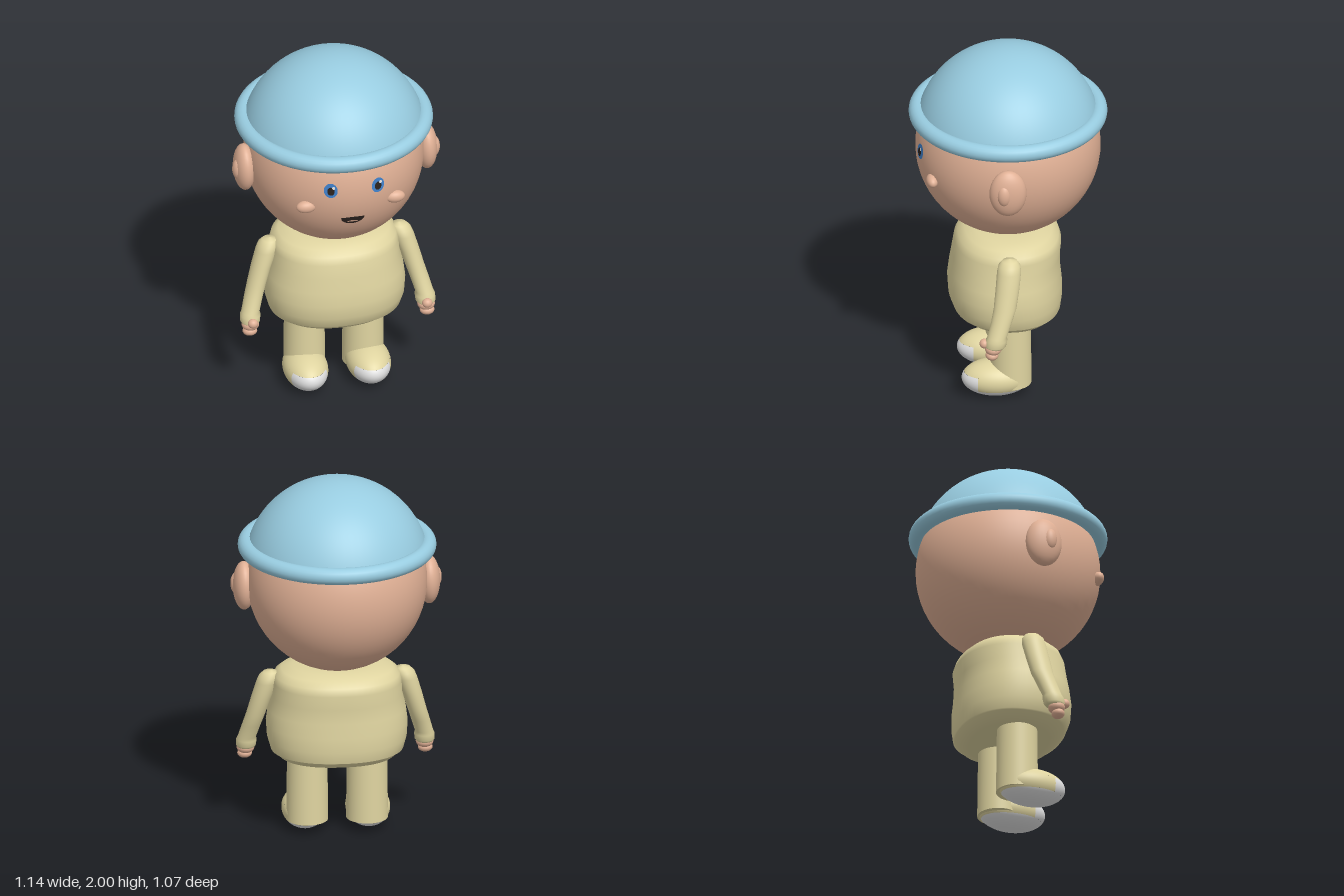
import * as THREE from 'three';

const mat = (name, color) => {
  const m = new THREE.MeshStandardMaterial({ color });
  m.name = name;
  return m;
};

const HEAD = { y: 1.43, rx: 0.483, ry: 0.49, rz: 0.497 };

// Smooth closed skin through horizontal rings [x, y, z, rx, rz], listed bottom to top
function loft(rings, power = 2, n = 40) {
  const pos = [], idx = [];
  const bend = v => Math.sign(v) * Math.abs(v) ** (2 / power);
  rings.forEach(([x, y, z, rx, rz], i) => {
    for (let j = 0; j < n; j++) {
      const t = (j / n) * Math.PI * 2;
      pos.push(x + rx * bend(Math.cos(t)), y, z + rz * bend(Math.sin(t)));
      if (i === rings.length - 1) continue;
      const a = i * n + j, b = i * n + (j + 1) % n;
      idx.push(a, a + n, b, b, a + n, b + n);
    }
  });
  const g = new THREE.BufferGeometry();
  g.setAttribute('position', new THREE.Float32BufferAttribute(pos, 3));
  g.setIndex(idx);
  g.computeVertexNormals();
  return g;
}

// Patch of the shoe ellipsoid between two heights; 'part' picks toe, side or full circle
function shoePatch(y0, y1, part) {
  const [rx, ry, rz] = [0.12, 0.1, 0.187], cz = 0.075, toeZ = 0.18;
  const rows = 12, cols = 36, pos = [], nor = [], idx = [];
  for (let i = 0; i <= rows; i++) {
    const y = y0 + (y1 - y0) * (1 - Math.cos((i / rows) * Math.PI)) / 2;
    const k = Math.sqrt(Math.max(0, 1 - ((y - ry) / ry) ** 2));
    const cut = part === 'full' ? 0 : Math.asin(Math.min(1, (toeZ - cz) / (rz * k)));
    const from = part === 'side' ? Math.PI - cut : cut;
    const to = part === 'toe' ? Math.PI - cut : Math.PI * 2 + cut;
    for (let j = 0; j <= cols; j++) {
      const t = from + (to - from) * (j / cols);
      const x = rx * k * Math.cos(t), z = rz * k * Math.sin(t);
      const v = new THREE.Vector3(x / rx ** 2, (y - ry) / ry ** 2, z / rz ** 2).normalize();
      pos.push(x, y, cz + z);
      nor.push(v.x, v.y, v.z);
      if (i === rows || j === cols) continue;
      const a = i * (cols + 1) + j, c = a + cols + 1;
      idx.push(a, c, a + 1, a + 1, c, c + 1);
    }
  }
  const g = new THREE.BufferGeometry();
  g.setAttribute('position', new THREE.Float32BufferAttribute(pos, 3));
  g.setAttribute('normal', new THREE.Float32BufferAttribute(nor, 3));
  g.setIndex(idx);
  return g;
}

// Thin painted face that follows the front of the head
function decal(shape, lift) {
  const g = new THREE.ShapeGeometry(shape, 24);
  const p = g.attributes.position;
  for (let i = 0; i < p.count; i++) {
    const x = p.getX(i), y = p.getY(i);
    const k = 1 - (x / HEAD.rx) ** 2 - ((y - HEAD.y) / HEAD.ry) ** 2;
    p.setZ(i, HEAD.rz * Math.sqrt(k) + lift);
  }
  g.computeVertexNormals();
  return g;
}

const oval = (x, y, rx, ry) => new THREE.Shape().absellipse(x, y, rx, ry, 0, Math.PI * 2);

export function createModel() {
  const group = new THREE.Group();
  const skin = mat('skin', 0xe0b095);
  const hat = mat('hat blue', 0x98cce0);
  const cloth = mat('cream cloth', 0xdfd4a0);
  const white = mat('white', 0xe2e2e2);
  const blue = mat('eye blue', 0x3f7fc8);
  const dark = mat('dark', 0x2a211d);

  const add = (name, geometry, material, x = 0, y = 0, z = 0) => {
    const m = new THREE.Mesh(geometry, material);
    m.name = name;
    m.position.set(x, y, z);
    group.add(m);
    return m;
  };
  const ball = (name, material, [x, y, z], [rx, ry, rz], n = 32) =>
    add(name, new THREE.SphereGeometry(1, n, n / 2).scale(rx, ry, rz), material, x, y, z);

  // Head and hat
  ball('head', skin, [0, HEAD.y, 0], [HEAD.rx, HEAD.ry, HEAD.rz], 64);
  add('hatDome', new THREE.SphereGeometry(0.5, 64, 24, 0, Math.PI * 2, 0, 1.308), hat, 0, 1.5, 0);
  add('hatBrim', new THREE.TorusGeometry(0.487, 0.046, 20, 64).rotateX(Math.PI / 2), hat, 0, 1.634, 0);

  // Eyes
  for (const x of [-0.122, 0.138]) {
    add('iris', decal(oval(x, 1.476, 0.036, 0.043), 0.009), blue);
    add('pupil', decal(oval(x, 1.474, 0.019, 0.024), 0.012), dark);
    add('eyeGlint', decal(oval(x + 0.014, 1.495, 0.008, 0.009), 0.014), white);
  }

  // Mouth: flat on top, round below, with a small tongue
  const mouth = new THREE.Shape().moveTo(-0.064, 1.29);
  mouth.bezierCurveTo(-0.06, 1.228, 0.06, 1.228, 0.064, 1.29);
  add('mouth', decal(mouth, 0.009), dark);
  const tongue = new THREE.Shape().moveTo(-0.035, 1.259);
  tongue.lineTo(0.035, 1.259).quadraticCurveTo(0, 1.285, -0.035, 1.259);
  add('tongue', decal(tongue, 0.012), skin);

  // Torso: [height, half width, front z, back z]
  const torso = [
    [0.43, 0.001, 0.02, 0.018], [0.43, 0.26, 0.21, -0.2], [0.442, 0.315, 0.255, -0.245],
    [0.472, 0.345, 0.283, -0.272], [0.476, 0.357, 0.297, -0.28], [0.54, 0.375, 0.32, -0.288],
    [0.62, 0.38, 0.325, -0.287], [0.7, 0.37, 0.315, -0.278], [0.78, 0.35, 0.302, -0.276],
    [0.86, 0.345, 0.289, -0.284], [0.9, 0.335, 0.27, -0.27], [0.93, 0.3, 0.235, -0.235],
    [0.948, 0.24, 0.185, -0.185], [0.955, 0.16, 0.13, -0.13], [0.957, 0.001, 0.001, -0.001],
  ];
  add('torso', loft(torso.map(([y, rx, f, b]) => [0, y, (f + b) / 2, rx, (f - b) / 2]), 2.25, 64), cloth);

  for (const s of [1, -1]) {
    const side = s > 0 ? 'left' : 'right';

    // Ear and cheek
    ball(side + 'Ear', skin, [s * 0.498, 1.4, 0.037], [0.06, 0.135, 0.1]);
    ball(side + 'EarInner', skin, [s * 0.535, 1.405, 0.06], [0.034, 0.062, 0.038]);
    ball(side + 'Cheek', skin, [s * 0.243, 1.354, 0.425], [0.055, 0.035, 0.033]);

    // Sleeve with a bent elbow and a cuff
    const arm = [
      [0.482, 0.448, 0.105, 0.001, 0.001], [0.482, 0.45, 0.105, 0.045, 0.048],
      [0.481, 0.462, 0.103, 0.054, 0.057], [0.479, 0.495, 0.097, 0.055, 0.058],
      [0.477, 0.512, 0.093, 0.049, 0.052], [0.455, 0.59, 0.068, 0.05, 0.056],
      [0.434, 0.66, 0.048, 0.051, 0.061], [0.405, 0.76, 0.033, 0.054, 0.064],
      [0.375, 0.85, 0.022, 0.058, 0.065], [0.365, 0.885, 0.02, 0.054, 0.059],
      [0.358, 0.908, 0.018, 0.038, 0.04], [0.354, 0.917, 0.018, 0.001, 0.001],
    ];
    add(side + 'Arm', loft(arm.map(([x, ...r]) => [s * x, ...r])), cloth);

    // Hand
    ball(side + 'Palm', skin, [s * 0.482, 0.442, 0.115], [0.048, 0.034, 0.045], 24);
    ball(side + 'Fingers', skin, [s * 0.486, 0.406, 0.122], [0.04, 0.027, 0.035], 24);
    ball(side + 'Thumb', skin, [s * 0.478, 0.473, 0.163], [0.028, 0.026, 0.026], 24);

    // Leg
    add(side + 'Leg', new THREE.CylinderGeometry(0.108, 0.113, 0.4, 40), cloth, s * 0.161, 0.265, -0.002);

    // Shoe with white sole and toe cap
    add(side + 'Sole', shoePatch(0, 0.055, 'full'), white, s * 0.172);
    add(side + 'ToeCap', shoePatch(0.055, 0.137, 'toe'), white, s * 0.172);
    add(side + 'ShoeSide', shoePatch(0.055, 0.137, 'side'), cloth, s * 0.172);
    add(side + 'ShoeTop', shoePatch(0.137, 0.2, 'full'), cloth, s * 0.172);
  }
  return group;
}
